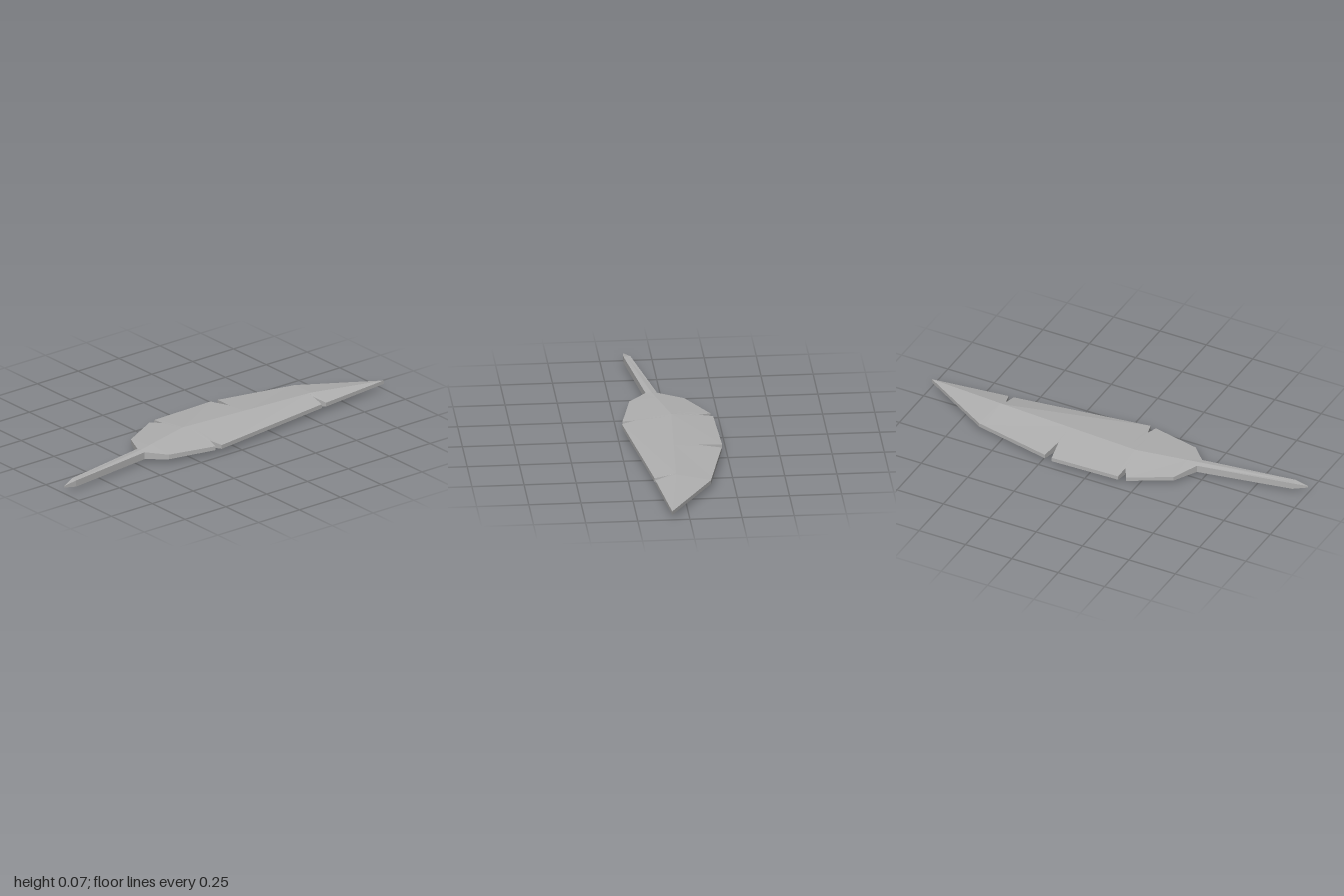
import * as THREE from 'three';

const MID = 0.035; // height of the flat middle plane

// Interpolates [x, z, halfThickness] along a line of points sorted by z
function at(line, z) {
  let i = 1;
  while (i < line.length - 1 && line[i][1] < z) i++;
  const a = line[i - 1], b = line[i];
  const t = (z - a[1]) / (b[1] - a[1]);
  return [a[0] + (b[0] - a[0]) * t, z, a[2] + (b[2] - a[2]) * t];
}

// Lens-shaped blade: two edges joined to a raised middle ridge, mirrored top to bottom
function bladeGeometry(left, ridge, right) {
  const pos = [];
  const up = (p) => [p[0], MID + p[2], p[1]];
  const down = (p) => [p[0], MID - p[2], p[1]];
  const quad = (a, b, c, d) => pos.push(...a, ...b, ...c, ...a, ...c, ...d);
  for (const [edge, isLeft] of [[left, true], [right, false]]) {
    const rows = [...new Set([...edge, ...ridge].map((p) => p[1]))].sort((a, b) => a - b);
    for (let i = 0; i < rows.length - 1; i++) {
      const e0 = at(edge, rows[i]), e1 = at(edge, rows[i + 1]);
      const r0 = at(ridge, rows[i]), r1 = at(ridge, rows[i + 1]);
      const [a, b, c, d] = isLeft ? [e0, e1, r1, r0] : [r0, r1, e1, e0];
      quad(up(a), up(b), up(c), up(d));
      quad(down(d), down(c), down(b), down(a));
      // thin side wall
      if (isLeft) quad(up(e0), down(e0), down(e1), up(e1));
      else quad(up(e1), down(e1), down(e0), up(e0));
    }
  }
  const g = new THREE.BufferGeometry();
  g.setAttribute('position', new THREE.Float32BufferAttribute(pos, 3));
  g.computeVertexNormals();
  return g;
}

export function createModel() {
  const group = new THREE.Group();
  group.name = 'feather';
  const grey = new THREE.MeshStandardMaterial({ color: 0xb0b0b0, flatShading: true });
  grey.name = 'featherGrey';
  const add = (name, ...lines) => {
    const mesh = new THREE.Mesh(bladeGeometry(...lines), grey);
    mesh.name = name;
    group.add(mesh);
  };

  // Vane with two notches cut into each edge: [x, z, half thickness]
  add('vane',
    [[0.085, -1, 0.009], [-0.135, -0.63, 0.01], [-0.222, -0.23, 0.01], [-0.11, -0.213, 0.022],
      [-0.228, -0.19, 0.01], [-0.217, 0.163, 0.01], [-0.15, 0.167, 0.018], [-0.207, 0.2, 0.01],
      [-0.1, 0.4, 0.01], [0.025, 0.46, 0.018]],
    [[0.085, -1, 0.009], [0.03, -0.6, 0.033], [-0.015, 0.15, 0.035], [0.052, 0.46, 0.022]],
    [[0.085, -1, 0.009], [0.13, -0.61, 0.01], [0.058, -0.587, 0.026], [0.132, -0.583, 0.01],
      [0.226, 0.105, 0.01], [0.16, 0.125, 0.017], [0.22, 0.137, 0.01], [0.165, 0.38, 0.012],
      [0.08, 0.46, 0.018]]);

  // Quill shaft with a slanted, pointed end
  add('quill',
    [[0.025, 0.46, 0.018], [0.11, 0.93, 0.016], [0.14, 1, 0.004]],
    [[0.052, 0.46, 0.022], [0.128, 0.93, 0.016], [0.14, 1, 0.004]],
    [[0.08, 0.46, 0.018], [0.144, 0.93, 0.016], [0.14, 1, 0.004]]);

  return group;
}
